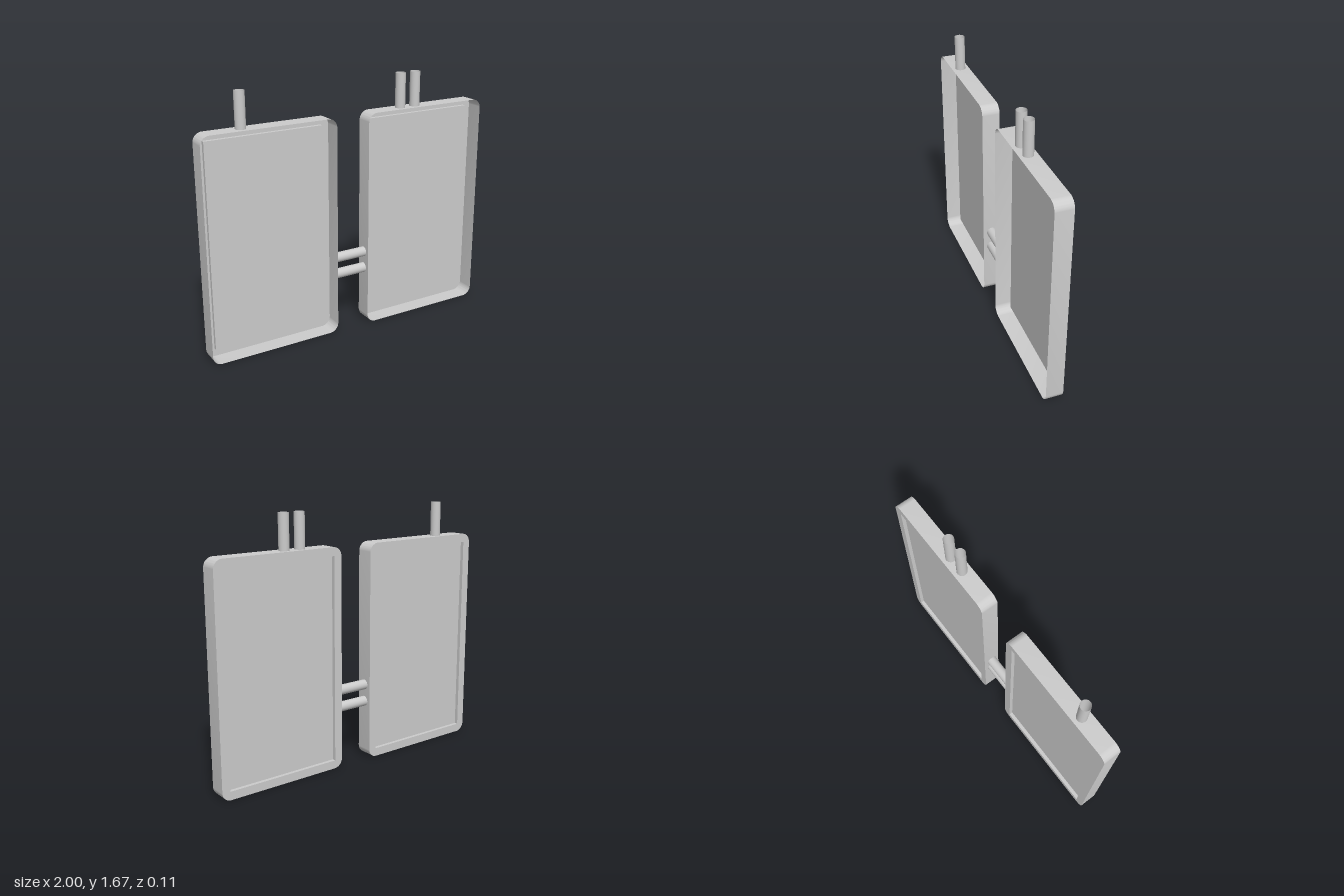
import * as THREE from 'three';
import { toCreasedNormals } from 'three/addons/utils/BufferGeometryUtils.js';

const W = 0.885, H = 1.445, D = 0.057; // tray width, height, half depth
const INSET = 0.055, RECESS = 0.024, CORNER = 0.06;
const PIPE_R = 0.033;

const material = new THREE.MeshStandardMaterial({ color: 0xcccccc, side: THREE.DoubleSide });

function addMesh(parent, name, geometry) {
  const mesh = new THREE.Mesh(geometry, material);
  mesh.name = name;
  parent.add(mesh);
  return mesh;
}

// Counter-clockwise outline with rounded corners
function roundedOutline(w, h, r) {
  const x = w / 2, y = h / 2, shape = new THREE.Shape();
  shape.absarc(x - r, y - r, r, 0, Math.PI / 2);
  shape.absarc(-x + r, y - r, r, Math.PI / 2, Math.PI);
  shape.absarc(-x + r, -y + r, r, Math.PI, Math.PI * 1.5);
  shape.absarc(x - r, -y + r, r, Math.PI * 1.5, Math.PI * 2);
  return shape;
}

function rectanglePoints(w, h) {
  const x = w / 2, y = h / 2;
  return [[x, y], [-x, y], [-x, -y], [x, -y]].map(([a, b]) => new THREE.Vector2(a, b));
}

// Thin wall that follows a closed outline from z0 (back) to z1 (front)
function wallBand(points, z0, z1) {
  const positions = [], index = [], n = points.length;
  for (const p of points) positions.push(p.x, p.y, z0, p.x, p.y, z1);
  for (let i = 0; i < n; i++) {
    const a = 2 * i, b = 2 * ((i + 1) % n);
    index.push(a, b, b + 1, a, b + 1, a + 1);
  }
  const geometry = new THREE.BufferGeometry();
  geometry.setAttribute('position', new THREE.Float32BufferAttribute(positions, 3));
  geometry.setIndex(index);
  return toCreasedNormals(geometry, Math.PI / 5);
}

// Shallow tray, open at the front, with a recessed panel in its back
function createTray(name, x) {
  const tray = new THREE.Group();
  tray.name = name;
  tray.position.set(x, H / 2, 0);

  const outline = roundedOutline(W, H, CORNER);
  const points = outline.getPoints(8);
  if (points[0].distanceTo(points[points.length - 1]) < 1e-6) points.pop();
  addMesh(tray, 'trayWall', wallBand(points, -D, D));

  const pw = W - 2 * INSET, ph = H - 2 * INSET;
  const opening = rectanglePoints(pw, ph);
  const rim = new THREE.Shape(points);
  rim.holes.push(new THREE.Path(opening.slice().reverse()));
  const rimGeometry = new THREE.ShapeGeometry(rim);
  rimGeometry.rotateY(Math.PI); // faces the back
  addMesh(tray, 'backRim', rimGeometry).position.z = -D;

  addMesh(tray, 'recessEdge', wallBand(opening, -D, -D + RECESS));
  const panel = new THREE.PlaneGeometry(pw, ph).rotateY(Math.PI);
  addMesh(tray, 'backPanel', panel).position.z = -D + RECESS;
  return tray;
}

function openPipe(length) {
  return new THREE.CylinderGeometry(PIPE_R, PIPE_R, length, 20, 1, true);
}

export function createModel() {
  const model = new THREE.Group();
  model.name = 'linkedTrays';

  const trayX = 1 - W / 2;
  model.add(createTray('rightTray', -trayX), createTray('leftTray', trayX));

  // Upright pipes on the top edges
  const pipeHeight = 0.225;
  for (const x of [-0.727, 0.385, 0.497]) {
    addMesh(model, 'topPipe', openPipe(pipeHeight)).position.set(x, H + pipeHeight / 2, 0);
  }

  // Pipes joining the two trays
  const gap = 2 * (1 - W);
  for (const y of [0.39, 0.504]) {
    const pipe = addMesh(model, 'linkPipe', openPipe(gap));
    pipe.rotation.z = Math.PI / 2;
    pipe.position.y = y;
  }
  return model;
}
